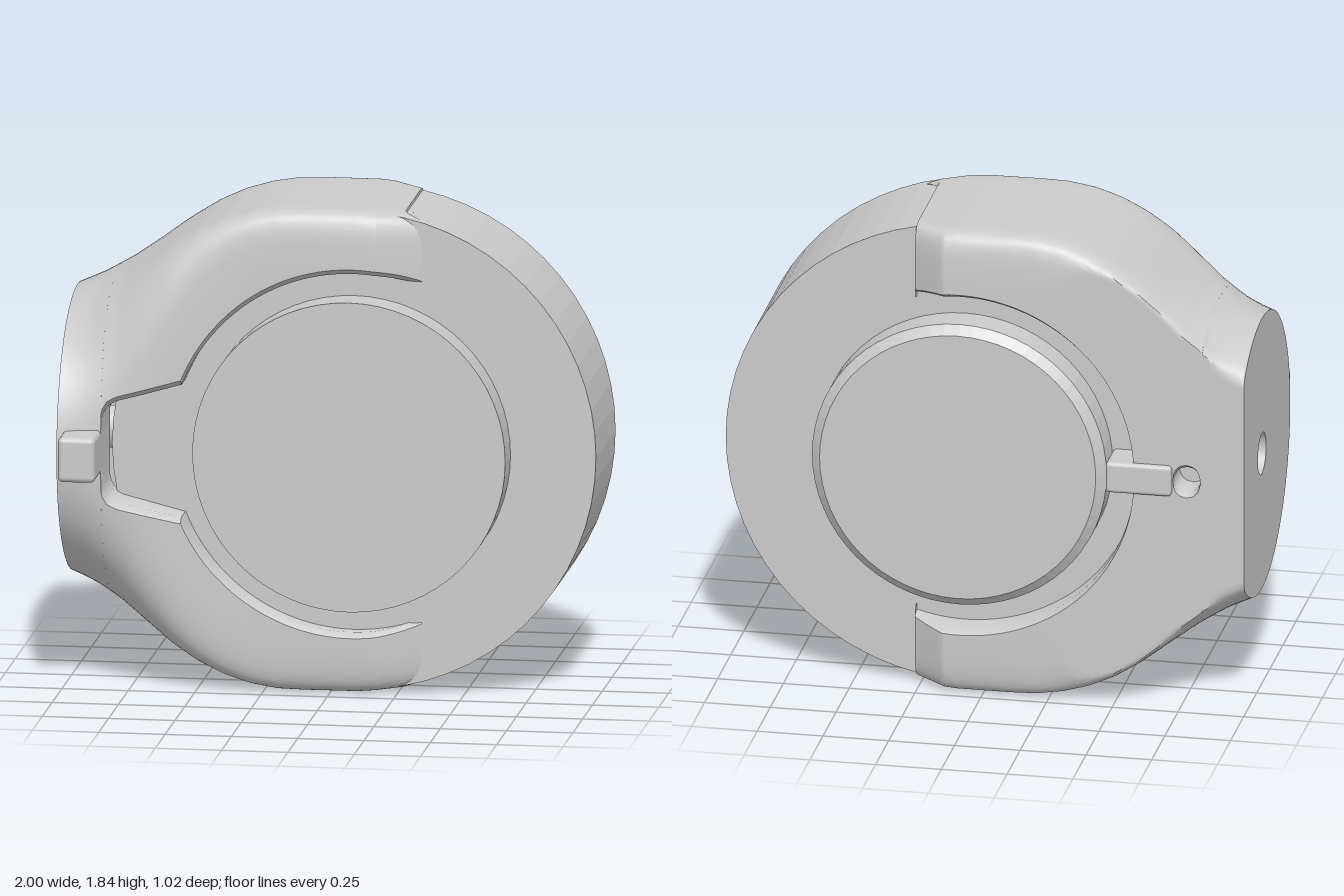
import * as THREE from 'three';
import { toCreasedNormals } from 'three/addons/utils/BufferGeometryUtils.js';
import { RoundedBoxGeometry } from 'three/addons/geometries/RoundedBoxGeometry.js';

const CY = 0.92;      // height of the wheel axis
const CX = 0.085;     // x of the wheel axis
const CZ = -0.15;     // depth of the housing's middle
const BACK = -0.49;   // flat back of the housing

// Piecewise linear lookup in [x, value] pairs
function lookup(table, x) {
  if (x <= table[0][0]) return table[0][1];
  for (let i = 1; i < table.length; i++) {
    const [x0, v0] = table[i - 1], [x1, v1] = table[i];
    if (x <= x1) return v0 + (v1 - v0) * (x - x0) / (x1 - x0);
  }
  return table[table.length - 1][1];
}

const HALF_HEIGHT = [[-1, 0.54], [-0.9, 0.583], [-0.8, 0.635], [-0.7, 0.698], [-0.6, 0.766], [-0.5, 0.825],
  [-0.4, 0.87], [-0.3, 0.9], [-0.2, 0.917], [-0.1, 0.92], [0.1, 0.92], [0.27, 0.905], [0.34, 0.89]];
const FRONT = [[-1, 0.39], [-0.9, 0.36], [-0.8, 0.332], [-0.7, 0.312], [-0.6, 0.288], [-0.5, 0.258],
  [-0.4, 0.238], [-0.3, 0.227], [-0.2, 0.222], [0.17, 0.215], [0.34, 0.145]];
const POCKET = [[-0.84, 0.13], [-0.835, 0.15], [-0.82, 0.175], [-0.79, 0.193], [-0.55, 0.253]];

const arc = (x, cx, r) => Math.sqrt(Math.max(0, r * r - (x - cx) ** 2));

// Inner edge of the front opening: tapered pocket, then a round cut-out
function frontEdge(x) {
  if (x < -0.84) return 0;
  return x < -0.55 ? lookup(POCKET, x) : arc(x, CX, 0.683);
}

// Inner edge at the back: small dimple, then a round cut-out
function backEdge(x) {
  return x < -0.7 ? arc(x, -0.78, 0.05) : arc(x, CX, 0.665);
}

// Upper half of the housing's section at x, from the front edge over the top to the back edge.
// It runs from a circle at the neck to a rounded rectangle around the wheel.
function section(x) {
  const t = THREE.MathUtils.smoothstep(x, -1, -0.25);
  const n = 2 * Math.pow(7, t);
  const h = lookup(HALF_HEIGHT, x);
  const front = lookup(FRONT, x) - CZ;
  const back = lookup([[0.15, 0.54 - 0.2 * t], [0.27, 0.25]], x);
  const yf = frontEdge(x), yb = backEdge(x);
  const angleAt = (y) => Math.acos(Math.pow(Math.min(1, y / h), n / 2));
  const a0 = angleAt(yf > 0 ? yf + 0.02 : 0);
  const a1 = -angleAt(yb > 0 ? yb + 0.015 : 0);
  const surface = [];
  const steps = 44;
  for (let j = 0; j <= steps; j++) {
    const a = a0 + (a1 - a0) * j / steps, s = Math.sin(a);
    const y = h * Math.pow(Math.max(0, Math.cos(a)), 2 / n);
    const z = CZ + Math.sign(s) * Math.pow(Math.abs(s), 2 / n) * (s > 0 ? front : back);
    surface.push([y, Math.max(BACK, z)]);
  }
  const zf = surface[0][1], zb = surface[steps][1];
  return { surface, ring: [[yf, 0.1], [yf, zf - 0.025], ...surface, [yb, zb + 0.025], [yb, -0.3]] };
}

// One half of the housing; side is 1 for the upper and -1 for the lower half
function housingHalf(side) {
  const xs = [-0.8401, -0.835, -0.829, -0.825, -0.81, -0.75, -0.735, -0.731, -0.73, -0.5799, -0.578, -0.575,
    -0.57, -0.55, 0.17, 0.15, 0.27, 0.271];
  for (let i = 0; i <= 67; i++) xs.push(-1 + i * 0.02);
  xs.sort((a, b) => a - b);
  const pos = [], idx = [];
  let ring;
  for (const x of xs) {
    ring = section(x).ring;
    for (const [y, z] of ring) {
      // only the front lip reaches past x = 0.27
      const px = x > 0.27 ? 0.27 + (x - 0.27) * THREE.MathUtils.smoothstep(z, 0.05, 0.13) : x;
      pos.push(px, side * y, z);
    }
  }
  const tri = (a, b, c) => (side > 0 ? idx.push(a, b, c) : idx.push(a, c, b));
  const m = ring.length;
  for (let i = 0; i < xs.length - 1; i++) {
    for (let j = 0; j < m - 1; j++) {
      const a = i * m + j, b = a + m;
      tri(a, b, a + 1);
      tri(b, b + 1, a + 1);
    }
  }
  // closed end of the arm
  const last = (xs.length - 1) * m;
  const outline = ring.map(([y, z]) => new THREE.Vector2(y, z));
  for (const [a, b, c] of THREE.ShapeUtils.triangulateShape(outline, [])) tri(last + a, last + b, last + c);
  const geo = new THREE.BufferGeometry();
  geo.setAttribute('position', new THREE.Float32BufferAttribute(pos, 3));
  geo.setIndex(idx);
  return toCreasedNormals(geo, 0.8);
}

export function createModel() {
  const group = new THREE.Group();
  const smooth = new THREE.MeshStandardMaterial({ color: 0xcccccc, side: THREE.DoubleSide });
  const faceted = new THREE.MeshStandardMaterial({ color: 0xcccccc, flatShading: true });
  const add = (name, geo, mat, x, y, z) => {
    const mesh = new THREE.Mesh(geo, mat);
    mesh.name = name;
    mesh.position.set(x, y, z);
    group.add(mesh);
    return mesh;
  };
  // Round part on the wheel axis between two depths
  const disc = (name, rFront, rBack, zBack, zFront) => {
    const geo = new THREE.CylinderGeometry(rFront, rBack, zFront - zBack, 64).rotateX(Math.PI / 2);
    add(name, geo, faceted, CX, CY, (zFront + zBack) / 2);
  };

  // Wheel with its raised faces
  disc('wheel', 0.912, 0.912, -0.36, 0.14);
  disc('frontBoss', 0.59, 0.59, 0.1, 0.275);
  disc('backBoss', 0.56, 0.56, -0.48, -0.3);
  disc('backBossChamfer', 0.56, 0.525, -0.512, -0.48);

  // Housing that grips the wheel
  add('upperHousing', housingHalf(1), smooth, 0, CY, 0);
  add('lowerHousing', housingHalf(-1), smooth, 0, CY, 0);

  // Flat neck end with a round bore
  const edge = section(-1).surface;
  const shape = new THREE.Shape([
    ...edge.map(([y, z]) => new THREE.Vector2(z, y)),
    ...edge.slice(1, -1).reverse().map(([y, z]) => new THREE.Vector2(z, -y)),
  ]);
  shape.holes.push(new THREE.Path().absarc(CZ, 0, 0.08, 0, Math.PI * 2, true));
  add('neckEnd', new THREE.ShapeGeometry(shape, 24), smooth, -1, CY, 0).rotation.y = -Math.PI / 2;
  const bore = new THREE.CylinderGeometry(0.08, 0.08, 0.2, 32, 1, true).rotateZ(Math.PI / 2);
  add('neckBore', bore, smooth, -0.9, CY, CZ);

  // Pin at the front and index tab at the back
  add('frontPin', new RoundedBoxGeometry(0.14, 0.17, 0.4, 3, 0.02), smooth, -0.91, CY + 0.005, 0.307);
  add('backTab', new RoundedBoxGeometry(0.25, 0.12, 0.2, 3, 0.015), smooth, -0.6, CY, -0.41);

  return group;
}
